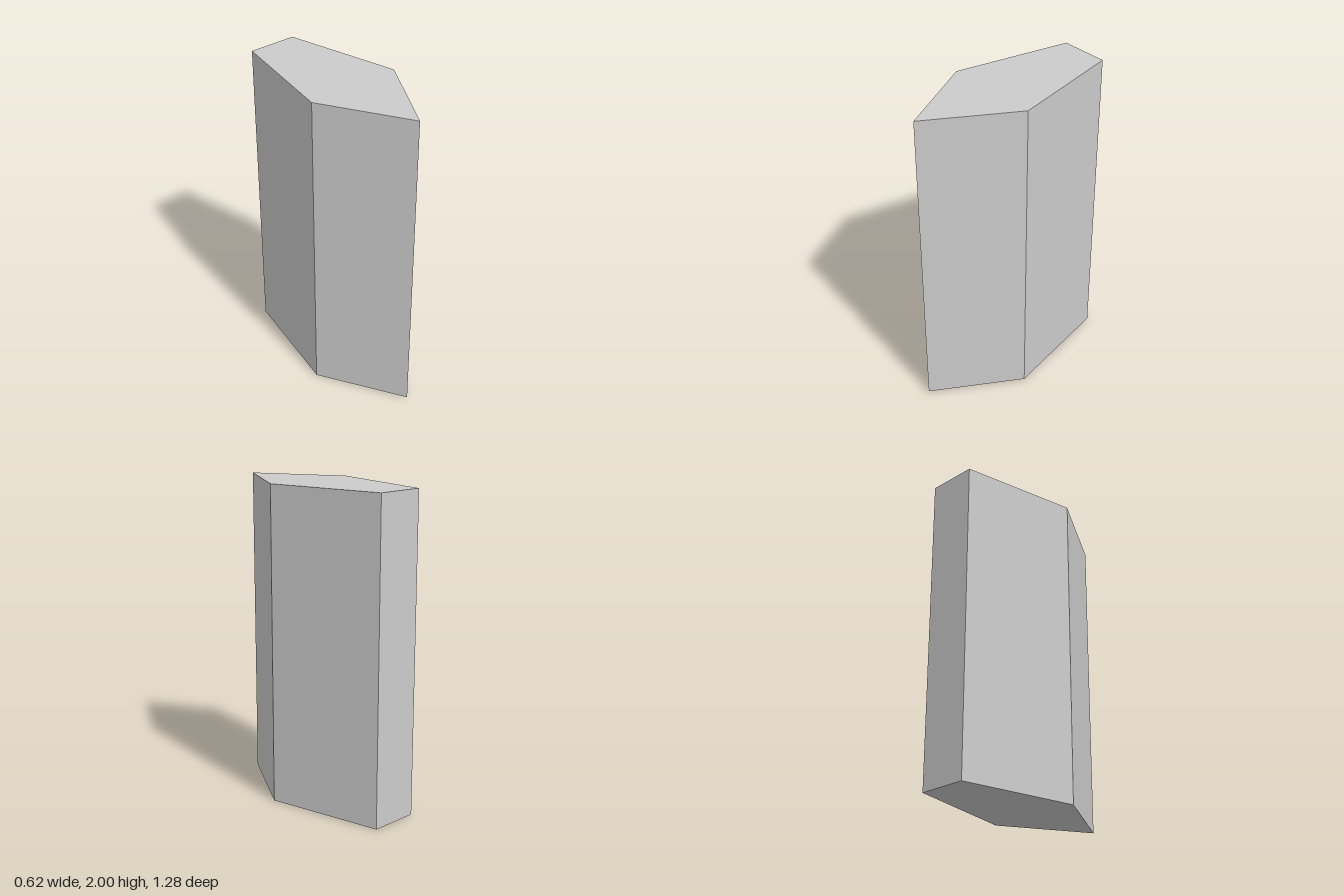
import * as THREE from 'three';

export function createModel() {
  const group = new THREE.Group();
  group.name = 'prism';

  // Five-sided plan outline as [x, z]: flat back, wide shoulders, pointed front
  const outline = [[-0.01, 0.64], [0.31, 0.1], [0.15, -0.64], [-0.16, -0.64], [-0.31, 0.1]];
  const shape = new THREE.Shape(outline.map(([x, z]) => new THREE.Vector2(x, -z)));

  // Extrude the plan straight up
  const geometry = new THREE.ExtrudeGeometry(shape, { depth: 2, bevelEnabled: false });
  geometry.rotateX(-Math.PI / 2);

  const material = new THREE.MeshStandardMaterial({ color: 0xcccccc, flatShading: true });
  const column = new THREE.Mesh(geometry, material);
  column.name = 'pointedColumn';
  group.add(column);
  return group;
}
